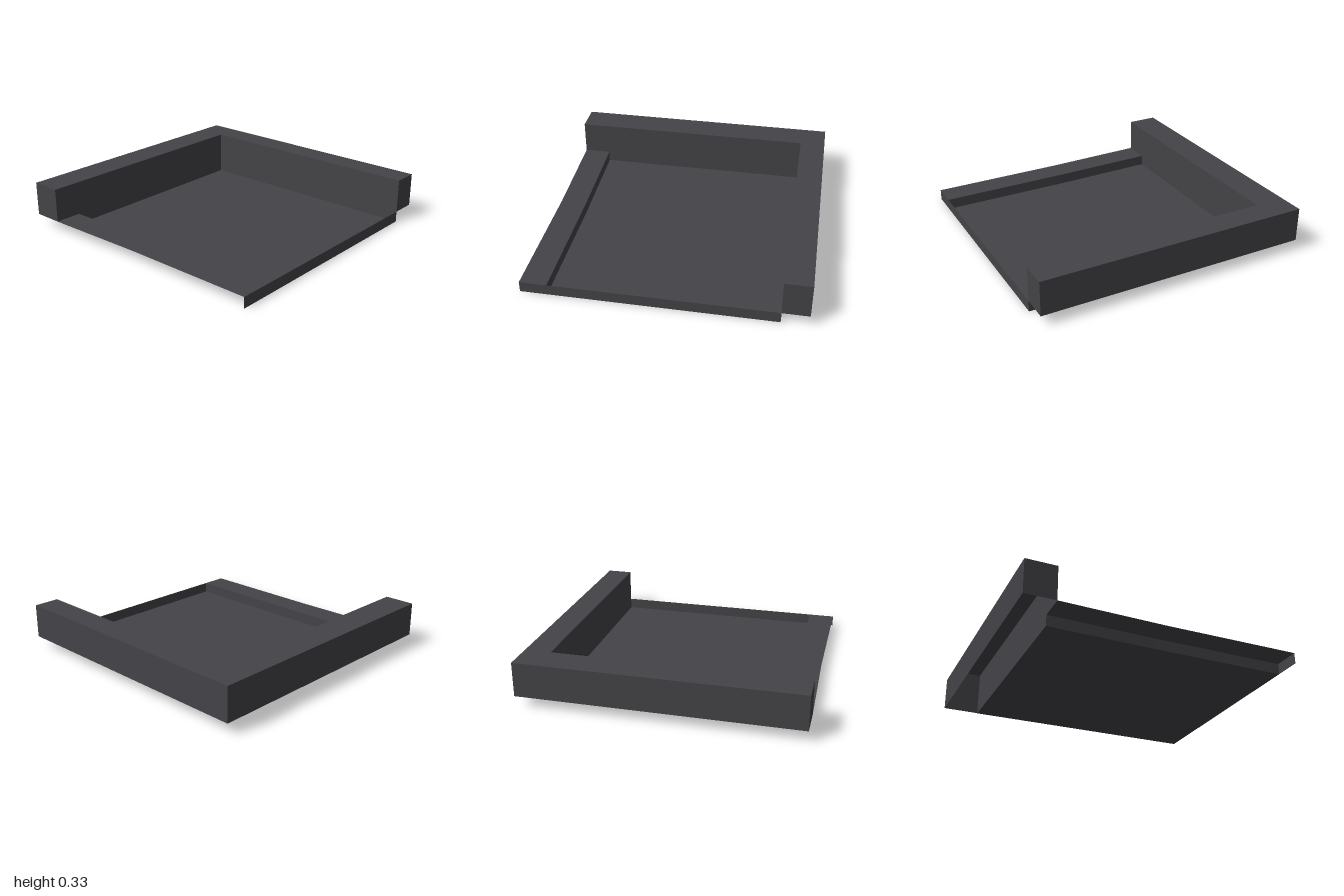
import * as THREE from 'three';

// Main levels: floor, rim (underside of the walls) and wall top
const FLOOR = 0, RIM = 0.08, TOP = 0.33;
// Inner faces of the left-hand-side wall and the back wall
const WALL_X = 0.81, WALL_Z = -0.775;

export function createModel() {
  const model = new THREE.Group();
  model.name = 'walledTray';
  const charcoal = new THREE.MeshStandardMaterial({ color: 0x444347, side: THREE.DoubleSide });
  charcoal.name = 'charcoal';

  // Flat-faced sheet spanning two polylines with equal point counts
  function sheet(parent, name, a, b) {
    const pos = [];
    for (let i = 0; i < a.length - 1; i++) {
      pos.push(...a[i], ...b[i], ...b[i + 1], ...a[i], ...b[i + 1], ...a[i + 1]);
    }
    const geo = new THREE.BufferGeometry();
    geo.setAttribute('position', new THREE.Float32BufferAttribute(pos, 3));
    geo.computeVertexNormals();
    const mesh = new THREE.Mesh(geo, charcoal);
    mesh.name = name;
    parent.add(mesh);
  }
  // Upright rectangle between two plan points, each [x, z]
  function upright(parent, name, [x0, z0], [x1, z1], y0, y1) {
    sheet(parent, name, [[x0, y1, z0], [x1, y1, z1]], [[x0, y0, z0], [x1, y0, z1]]);
  }
  // Level rectangle facing up
  function level(parent, name, x0, x1, z0, z1, y) {
    sheet(parent, name, [[x0, y, z0], [x1, y, z0]], [[x0, y, z1], [x1, y, z1]]);
  }
  function part(name) {
    const g = new THREE.Group();
    g.name = name;
    model.add(g);
    return g;
  }

  // Side wall: hollow, open underneath, its inner face reaching the floor
  const side = part('sideWall');
  level(side, 'sideWallTop', WALL_X, 1, -1, 1, TOP);
  upright(side, 'sideWallOuter', [1, 1], [1, -1], RIM, TOP);
  upright(side, 'sideWallEnd', [WALL_X, 1], [1, 1], RIM, TOP);
  upright(side, 'sideWallInner', [WALL_X, WALL_Z], [WALL_X, 1], FLOOR, TOP);
  upright(side, 'sideWallPartition', [WALL_X, -1], [WALL_X, WALL_Z], RIM, TOP);

  // Back wall: also hollow and open underneath
  const back = part('backWall');
  level(back, 'backWallTop', -1, WALL_X, -1, WALL_Z, TOP);
  upright(back, 'backWallOuter', [1, -1], [-1, -1], RIM, TOP);
  upright(back, 'backWallEnd', [-1, -1], [-1, WALL_Z], RIM, TOP);
  upright(back, 'backWallInner', [-1, WALL_Z], [WALL_X, WALL_Z], RIM, TOP);
  upright(back, 'backWallFoot', [-0.8, WALL_Z], [WALL_X, WALL_Z], FLOOR, RIM);

  // Slightly bent ledge along the open side, running back to front
  const outer = [[-1, WALL_Z], [-0.98, 0], [-0.98, 1]];
  const inner = [[-0.8, WALL_Z], [-0.785, 0], [-0.785, 1]];
  const at = (line, y) => line.map(([x, z]) => [x, y, z]);
  const ledge = part('ledge');
  sheet(ledge, 'ledgeTop', at(inner, RIM), at(outer, RIM));
  sheet(ledge, 'ledgeInner', at(inner, FLOOR), at(inner, RIM));

  // Sunken floor and the thin lip across the front
  const right = inner.map(([, z]) => [WALL_X, z]);
  sheet(model, 'floor', at(right, FLOOR), at(inner, FLOOR));
  upright(model, 'frontLip', [-0.98, 1], [WALL_X, 1], FLOOR, RIM);

  return model;
}
